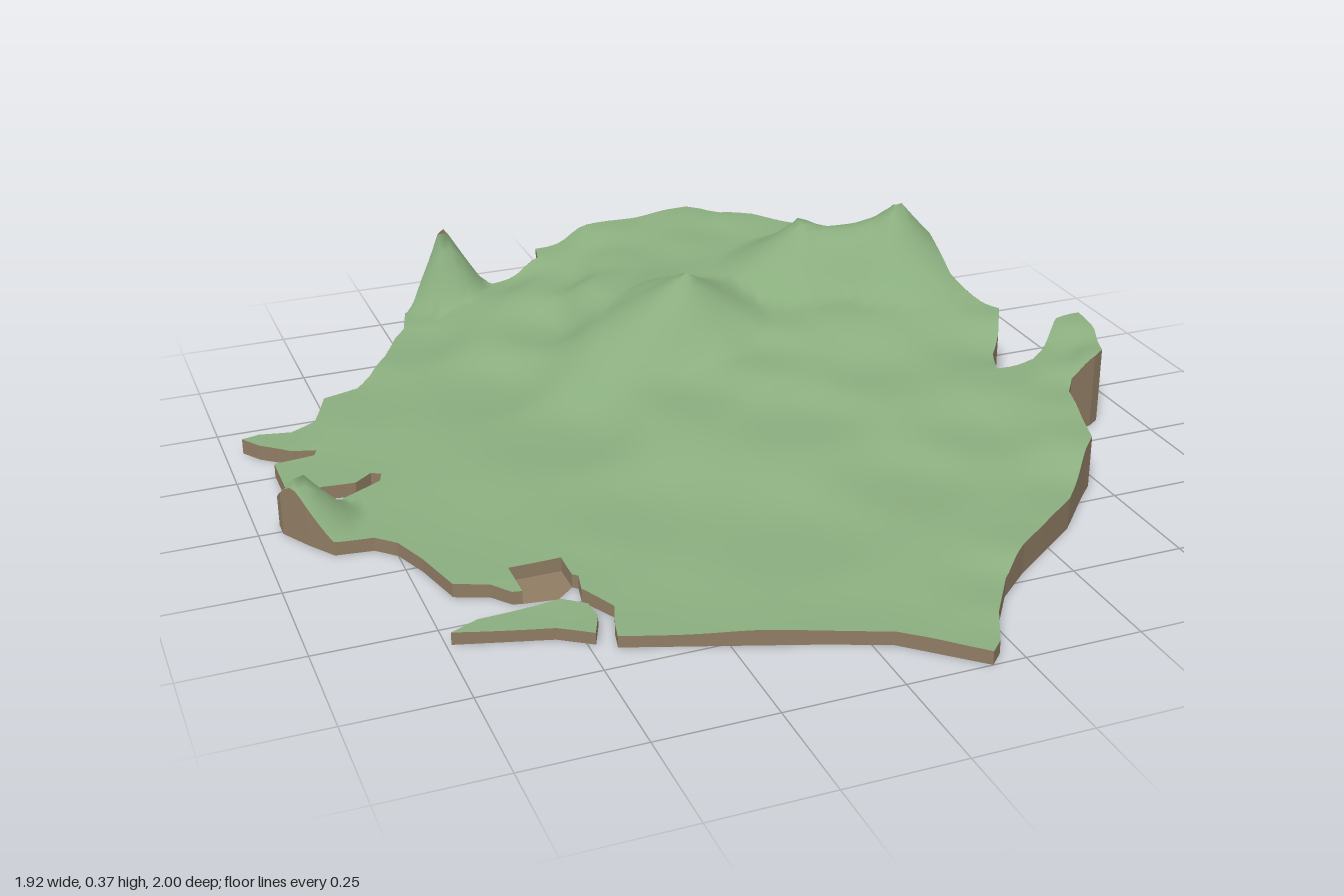
import * as THREE from 'three';

// Coastlines as [x, z] points. The mainland starts at the back edge.
const coastA = [[-.08, -1], [.34, -1], [.37, -.97], [.4, -.91], [.47, -.86], [.59, -.7], [.7, -.56], [.7, -.51],
  [.66, -.43], [.66, -.41], [.75, -.4], [.75, -.28], [.82, -.16], [.77, -.07], [.73, -.02], [.69, .07], [.78, .08],
  [.82, .05], [.9, -.03], [.96, -.03], [.95, .06], [.91, .16], [.88, .18], [.81, .2], [.78, .24], [.75, .34],
  [.72, .44], [.68, .48], [.58, .59], [.47, .67], [.4, .72], [.32, .79], [.25, .89], [.21, .97], [.18, 1],
  [.04, .87], [-.08, .82], [-.45, .685], [-.44, .64], [-.42, .58], [-.46, .5], [-.45, .45]];
const pitNotch = [[-.46, .44], [-.46, .37], [-.57, .37], [-.57, .465]];
const pitShore = [[-.46, .44], [-.5, .475], [-.57, .465]];
const coastB = [[-.59, .46], [-.62, .42], [-.69, .39], [-.72, .27], [-.75, .19], [-.79, .15], [-.87, .14],
  [-.91, .08], [-.95, .01], [-.95, -.03], [-.91, -.03], [-.88, .015], [-.835, .02], [-.81, -.04], [-.72, -.085],
  [-.71, -.115], [-.73, -.13], [-.77, -.1], [-.84, -.11], [-.89, -.09], [-.915, -.14], [-.915, -.255],
  [-.825, -.265], [-.815, -.285], [-.87, -.3], [-.93, -.35], [-.96, -.395], [-.92, -.405], [-.85, -.39],
  [-.79, -.42], [-.77, -.465], [-.745, -.53], [-.66, -.555], [-.62, -.6], [-.56, -.69], [-.51, -.79],
  [-.48, -.825], [-.455, -.91], [-.4, -.945], [-.3, -.96], [-.22, -.925], [-.09, -.95]];
const islet = [[-.74, .56], [-.68, .53], [-.51, .52], [-.465, .555], [-.46, .6], [-.485, .66], [-.55, .615]];

// Ground levels as [x, z, height], blended smoothly between points
const levels = [
  [.18, 1, .03], [0, .85, .03], [-.4, .66, .025], [-.6, .57, .025], [-.5, .45, .03], [-.7, .3, .03], [-.85, .1, .03],
  [-.85, -.2, .03], [-.9, -.38, .035], [-.7, -.5, .04], [-.5, -.75, .05], [-.45, -.9, .06], [-.2, -.92, .1],
  [-.08, -1, .15], [.1, -1, .2], [.34, -1, .21], [.45, -.87, .22], [.59, -.7, .22], [.7, -.55, .24], [.75, -.28, .2],
  [.8, -.16, .17], [.72, 0, .12], [.7, .08, .13], [.82, .1, .15], [.95, 0, .19], [.9, .17, .18], [.78, .24, .13]];
const inland = [
  [.73, .42, .12], [.58, .59, .07], [.4, .72, .07], [.3, .82, .04], [.5, .3, .09], [.3, .4, .06], [0, .5, .04],
  [-.3, .3, .04], [-.3, -.1, .05], [-.4, -.4, .05], [-.2, -.6, .09], [0, -.4, .18], [0, -.65, .18], [.1, -.55, .2],
  [.2, -.15, .14], [0, -.1, .1], [.3, -.3, .17], [.3, -.55, .2], [.45, -.3, .18], [.55, -.45, .23], [.4, 0, .12],
  [.2, .1, .09], [.3, -.8, .2], [.1, -.8, .18], [-.1, -.8, .13]];
const ground = [...levels, ...inland];

// Peaks as [x, z, height, radius]
const peaks = [[.1, -.38, .29, .2], [.45, -.52, .33, .2], [.67, -.41, .38, .2],
  [-.34, -.95, .27, .11], [-.91, .03, .15, .12]];

function baseHeight(x, z) {
  let sum = 0, total = 0;
  for (const [px, pz, h] of ground) {
    const w = 1 / ((x - px) ** 2 + (z - pz) ** 2 + .002) ** 1.75;
    sum += w * h;
    total += w;
  }
  return sum / total;
}
const rises = peaks.map(([x, z, h]) => h - baseHeight(x, z));

function height(x, z) {
  let y = baseHeight(x, z);
  peaks.forEach(([px, pz, , r], i) => {
    const t = 1 - Math.hypot(x - px, z - pz) / r;
    if (t > 0) y += rises[i] * t ** 1.3;
  });
  return y;
}

// Cuts a polygon at one grid line, keeping one side of it
function clip(poly, axis, limit, sign) {
  const out = [];
  poly.forEach((b, i) => {
    const a = poly[(i + poly.length - 1) % poly.length];
    const da = (a[axis] - limit) * sign, db = (b[axis] - limit) * sign;
    if ((da < 0) !== (db < 0)) {
      const t = da / (da - db);
      const p = [a[0] + (b[0] - a[0]) * t, a[1] + (b[1] - a[1]) * t];
      p[axis] = limit;
      out.push(p);
    }
    if (db >= 0) out.push(b);
  });
  return out;
}

const area = (poly) => Math.abs(poly.reduce((s, a, i) => {
  const b = poly[(i + 1) % poly.length];
  return s + a[0] * b[1] - b[0] * a[1];
}, 0)) / 2;

// Triangles of a flat polygon, wound to face up
function triangles(poly) {
  const pts = poly.map((p) => new THREE.Vector2(p[0], p[1]));
  return THREE.ShapeUtils.triangulateShape(pts, []).map((f) => {
    const [a, b, c] = f.map((i) => poly[i]);
    const up = (b[1] - a[1]) * (c[0] - a[0]) - (b[0] - a[0]) * (c[1] - a[1]);
    return up < 0 ? [a, c, b] : [a, b, c];
  });
}

function geometryFrom(pos, normals) {
  const g = new THREE.BufferGeometry();
  g.setAttribute('position', new THREE.Float32BufferAttribute(pos, 3));
  if (normals) g.setAttribute('normal', new THREE.Float32BufferAttribute(normals, 3));
  else g.computeVertexNormals();
  return g;
}

// Grid cells trimmed to the coast and lifted to the terrain height
function terrain(coast) {
  const pos = [], nor = [], n = 80, step = 2 / n, e = .008;
  const put = ([x, z]) => {
    pos.push(x, height(x, z), z);
    const v = new THREE.Vector3(height(x - e, z) - height(x + e, z), 2 * e, height(x, z - e) - height(x, z + e));
    nor.push(...v.normalize().toArray());
  };
  for (let i = 0; i < n; i++) {
    const x0 = -1 + i * step, x1 = x0 + step;
    const strip = clip(clip(coast, 0, x0, 1), 0, x1, -1);
    if (strip.length < 3) continue;
    for (let j = 0; j < n; j++) {
      const z0 = -1 + j * step, z1 = z0 + step;
      let cell = clip(clip(strip, 1, z0, 1), 1, z1, -1);
      const size = area(cell);
      if (cell.length < 3 || size < 1e-8) continue;
      if (size > step * step - 1e-8) cell = [[x0, z0], [x0, z1], [x1, z1], [x1, z0]];
      triangles(cell).forEach((t) => t.forEach(put));
    }
  }
  return geometryFrom(pos, nor);
}

// Vertical sides following the terrain edge down to the base
function cliffs(coast) {
  const pos = [];
  coast.forEach((a, i) => {
    const b = coast[(i + 1) % coast.length];
    const n = Math.ceil(Math.hypot(b[0] - a[0], b[1] - a[1]) / .02);
    const at = (k) => [a[0] + (b[0] - a[0]) * k / n, a[1] + (b[1] - a[1]) * k / n];
    for (let k = 0; k < n; k++) {
      const [x0, z0] = at(k), [x1, z1] = at(k + 1);
      const h0 = height(x0, z0), h1 = height(x1, z1);
      pos.push(x0, 0, z0, x0, h0, z0, x1, h1, z1, x0, 0, z0, x1, h1, z1, x1, 0, z1);
    }
  });
  return geometryFrom(pos);
}

// Flat base, facing down
function base(coast) {
  const pos = [];
  for (const [a, b, c] of triangles(coast)) for (const p of [a, c, b]) pos.push(p[0], 0, p[1]);
  return geometryFrom(pos);
}

export function createModel() {
  const grass = new THREE.MeshStandardMaterial({ name: 'grass green', color: 0x8aad7e, side: THREE.DoubleSide });
  const earth = new THREE.MeshStandardMaterial({ name: 'earth brown', color: 0x8f7c64, side: THREE.DoubleSide });
  const model = new THREE.Group();
  model.name = 'island';

  const addLand = (name, topCoast, baseCoast) => {
    const land = new THREE.Group();
    land.name = name;
    const parts = [['Surface', terrain(topCoast), grass], ['Cliffs', cliffs(topCoast), earth],
      ['Base', base(baseCoast), earth]];
    for (const [part, geometry, material] of parts) {
      const mesh = new THREE.Mesh(geometry, material);
      mesh.name = name + part;
      land.add(mesh);
    }
    model.add(land);
  };
  // The mainland surface has an open pit that shows the base
  addLand('mainland', [...coastA, ...pitNotch, ...coastB], [...coastA, ...pitShore, ...coastB]);
  addLand('islet', islet, islet);
  return model;
}
